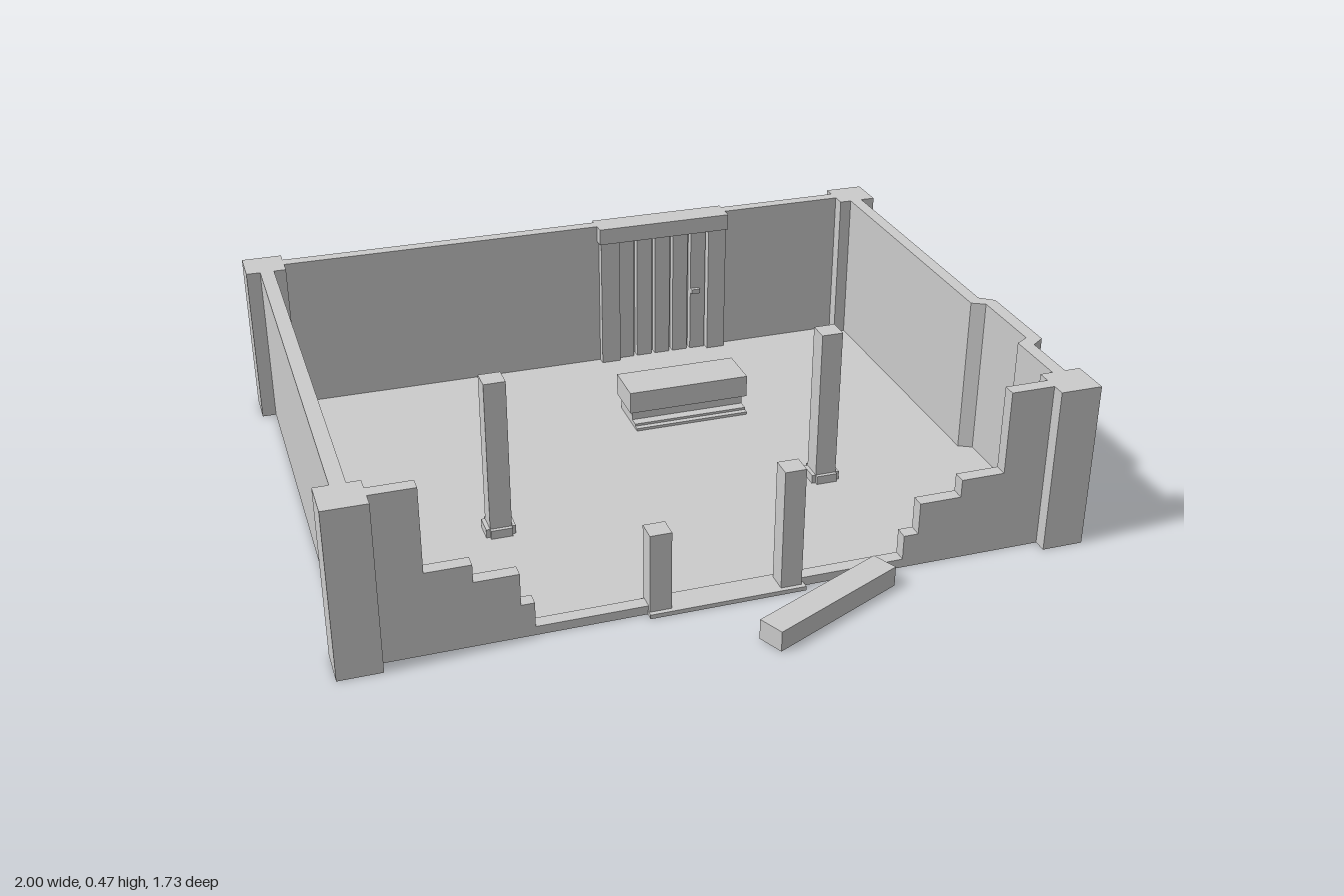
import * as THREE from 'three';

const H = 0.47;      // wall height
const FLOOR = 0.01;  // floor thickness
const material = new THREE.MeshStandardMaterial({ color: 0xcccccc, flatShading: true });

export function createModel() {
  const model = new THREE.Group();
  const plan = new THREE.Group();
  plan.name = 'ruinedHouse';
  plan.position.z = 0.005;
  model.add(plan);

  const add = (name, geometry, parent = plan) => {
    const mesh = new THREE.Mesh(geometry, material);
    mesh.name = name;
    parent.add(mesh);
    return mesh;
  };
  // box given by its two extreme corners
  const box = (name, x0, x1, y0, y1, z0, z1, parent) => {
    const mesh = add(name, new THREE.BoxGeometry(x1 - x0, y1 - y0, z1 - z0), parent);
    mesh.position.set((x0 + x1) / 2, (y0 + y1) / 2, (z0 + z1) / 2);
    return mesh;
  };
  const polygon = (points) => new THREE.Shape(points.map(([x, y]) => new THREE.Vector2(x, y)));
  // front elevation (x, y) extruded from z0 to z1
  const elevation = (name, points, z0, z1) => {
    const g = new THREE.ExtrudeGeometry(polygon(points), { depth: z1 - z0, bevelEnabled: false });
    return add(name, g.translate(0, 0, z0));
  };
  // floor plan (x, z) extruded upwards
  const planExtrude = (name, points, height) => {
    const g = new THREE.ExtrudeGeometry(polygon(points.map(([x, z]) => [x, -z])), { depth: height, bevelEnabled: false });
    return add(name, g.rotateX(-Math.PI / 2));
  };

  // floor slab, reaching into the bay of the right-hand wall
  planExtrude('floor', [
    [-0.94, -0.82], [0.94, -0.82], [0.94, 0.07], [0.975, 0.09],
    [0.975, 0.34], [0.94, 0.365], [0.94, 0.6], [-0.94, 0.6],
  ], FLOOR);

  // side walls
  box('rightSideWall', -0.96, -0.92, 0, H, -0.82, 0.6);
  planExtrude('baySideWall', [
    [0.92, -0.82], [0.957, -0.82], [0.957, 0.053], [0.995, 0.083], [0.995, 0.348], [0.957, 0.375],
    [0.957, 0.6], [0.92, 0.6], [0.92, 0.353], [0.957, 0.33], [0.957, 0.10], [0.92, 0.08],
  ], H);

  // back wall with a door opening
  elevation('backWall', [
    [-0.94, 0], [0.145, 0], [0.145, 0.42], [0.44, 0.42], [0.44, 0], [0.94, 0], [0.94, H], [-0.94, H],
  ], -0.835, -0.798);

  // broken front wall, stepping down towards the doorway on each side
  elevation('brokenFrontWallRight', [
    [-0.94, 0], [-0.2, 0], [-0.2, 0.025], [-0.5, 0.025], [-0.5, 0.095], [-0.535, 0.095],
    [-0.535, 0.185], [-0.65, 0.185], [-0.65, 0.235], [-0.768, 0.235], [-0.768, H], [-0.94, H],
  ], 0.575, 0.612);
  elevation('brokenFrontWallLeft', [
    [0.2, 0], [0.94, 0], [0.94, H], [0.765, H], [0.765, 0.235], [0.645, 0.235],
    [0.645, 0.185], [0.53, 0.185], [0.53, 0.095], [0.49, 0.095], [0.49, 0.025], [0.2, 0.025],
  ], 0.575, 0.612);

  // corner piers
  for (const s of [-1, 1]) {
    for (const z of [-0.87, 0.538]) {
      box('cornerPier', Math.min(s, s * 0.885), Math.max(s, s * 0.885), 0, H, z, z + 0.112);
    }
  }

  // front doorway: sill and two broken jambs
  box('doorSill', -0.21, 0.21, 0, 0.012, 0.555, 0.635);
  box('brokenJambRight', -0.208, -0.15, 0, 0.235, 0.565, 0.622);
  box('brokenJambLeft', 0.145, 0.202, 0, 0.352, 0.565, 0.622);

  // back door: frame, backing and planks
  const door = new THREE.Group();
  door.name = 'backDoor';
  plan.add(door);
  box('lintel', 0.08, 0.503, 0.42, H, -0.85, -0.767, door);
  box('doorJambRight', 0.085, 0.145, 0, 0.42, -0.845, -0.772, door);
  box('doorJambLeft', 0.44, 0.498, 0, 0.42, -0.845, -0.772, door);
  box('doorBacking', 0.145, 0.44, 0, 0.42, -0.828, -0.815, door);
  for (let i = 0; i < 5; i++) {
    const x = 0.147 + i * 0.06;
    box('doorPlank', x, x + 0.049, FLOOR, 0.42, -0.815, -0.79, door);
  }
  box('doorHandle', 0.388, 0.416, 0.207, 0.222, -0.79, -0.777, door);

  // two pillars, each on a cross-shaped foot
  for (const x of [-0.475, 0.468]) {
    const pillar = new THREE.Group();
    pillar.name = 'pillar';
    pillar.position.set(x, 0, 0.12);
    plan.add(pillar);
    box('shaft', -0.03, 0.03, 0, H, -0.03, 0.03, pillar);
    box('footAcross', -0.041, 0.041, 0, 0.035, -0.03, 0.03, pillar);
    box('footAlong', -0.03, 0.03, 0, 0.035, -0.041, 0.041, pillar);
  }

  // counter block with a low step in front
  box('counterTop', 0.04, 0.41, 0.055, 0.122, -0.465, -0.33);
  box('counterBase', 0.05, 0.4, 0, 0.055, -0.455, -0.345);
  box('counterStep', 0.05, 0.4, 0, 0.025, -0.345, -0.315);
  box('counterStepEdge', 0.05, 0.4, 0, 0.018, -0.315, -0.298);

  // fallen beam lying outside the doorway
  const beam = add('fallenBeam', new THREE.BoxGeometry(0.425, 0.057, 0.074));
  beam.position.set(0.227, 0.0285, 0.741);
  beam.rotation.y = THREE.MathUtils.degToRad(25);

  return model;
}
